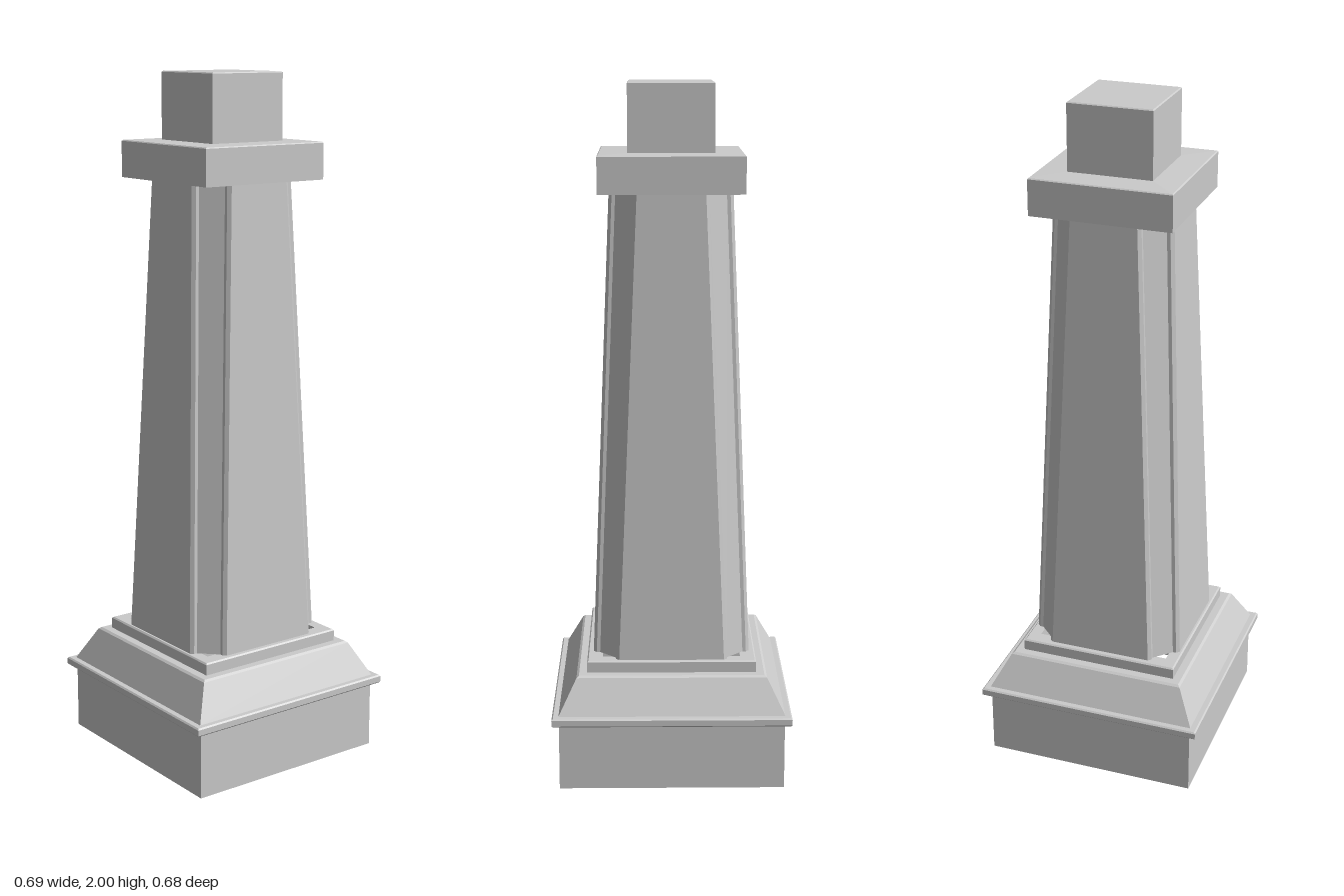
import * as THREE from 'three';

const material = new THREE.MeshStandardMaterial({ color: 0xcccccc, side: THREE.DoubleSide });

// Hard-edged skin between rings of [x, y, z] points, listed from bottom to top
function loft(name, rings) {
  const positions = [];
  for (let i = 0; i < rings.length - 1; i++) {
    const lower = rings[i], upper = rings[i + 1], n = lower.length;
    for (let j = 0; j < n; j++) {
      const k = (j + 1) % n;
      positions.push(...lower[j], ...upper[j], ...lower[k]);
      positions.push(...lower[k], ...upper[j], ...upper[k]);
    }
  }
  const geometry = new THREE.BufferGeometry();
  geometry.setAttribute('position', new THREE.Float32BufferAttribute(positions, 3));
  geometry.computeVertexNormals();
  const mesh = new THREE.Mesh(geometry, material);
  mesh.name = name;
  return mesh;
}

// Rectangular ring from half-width, half-depth and height
const rect = ([x, z, y]) => [[x, y, z], [-x, y, z], [-x, y, -z], [x, y, -z]];

// Four raised panels with bevelled edges and a recessed chamfer at each corner
function shaftRing(face, half, y) {
  const corner = [
    [face, half - 0.009], [face - 0.009, half], [face - 0.019, half],
    [half, face - 0.019], [half, face - 0.009], [half - 0.009, face],
  ];
  const ring = [];
  for (let q = 0; q < 4; q++) {
    const c = [1, 0, -1, 0][q], s = [0, 1, 0, -1][q];
    for (const [x, z] of corner) ring.push([x * c - z * s, y, x * s + z * c]);
  }
  return ring;
}

export function createModel() {
  const group = new THREE.Group();
  group.name = 'pedestal';

  // Hollow base, open underneath
  group.add(loft('plinth', [[0.325, 0.315, 0], [0.325, 0.315, 0.197]].map(rect)));
  group.add(loft('plinthLip', [
    [0.325, 0.315, 0.197], [0.341, 0.334, 0.197], [0.345, 0.338, 0.201],
    [0.345, 0.338, 0.218], [0.341, 0.334, 0.222], [0.326, 0.318, 0.222],
  ].map(rect)));
  group.add(loft('slopedMoulding', [
    [0.326, 0.318, 0.222], [0.275, 0.267, 0.32], [0.268, 0.26, 0.325], [0.245, 0.237, 0.325],
  ].map(rect)));
  group.add(loft('shaftStep', [
    [0.245, 0.237, 0.325], [0.245, 0.237, 0.356], [0.241, 0.233, 0.36], [0.2, 0.2, 0.36],
  ].map(rect)));

  // Tapered shaft
  group.add(loft('shaft', [shaftRing(0.228, 0.161, 0.36), shaftRing(0.175, 0.105, 1.7)]));

  // Cap slab and the block on top
  group.add(loft('cap', [
    [0.1, 0.1, 1.7], [0.205, 0.205, 1.7], [0.205, 0.205, 1.803],
    [0.202, 0.202, 1.806], [0.122, 0.122, 1.808],
  ].map(rect)));
  group.add(loft('topBlock', [
    [0.122, 0.122, 1.808], [0.122, 0.122, 1.997], [0.119, 0.119, 2], [0, 0, 2],
  ].map(rect)));
  return group;
}
